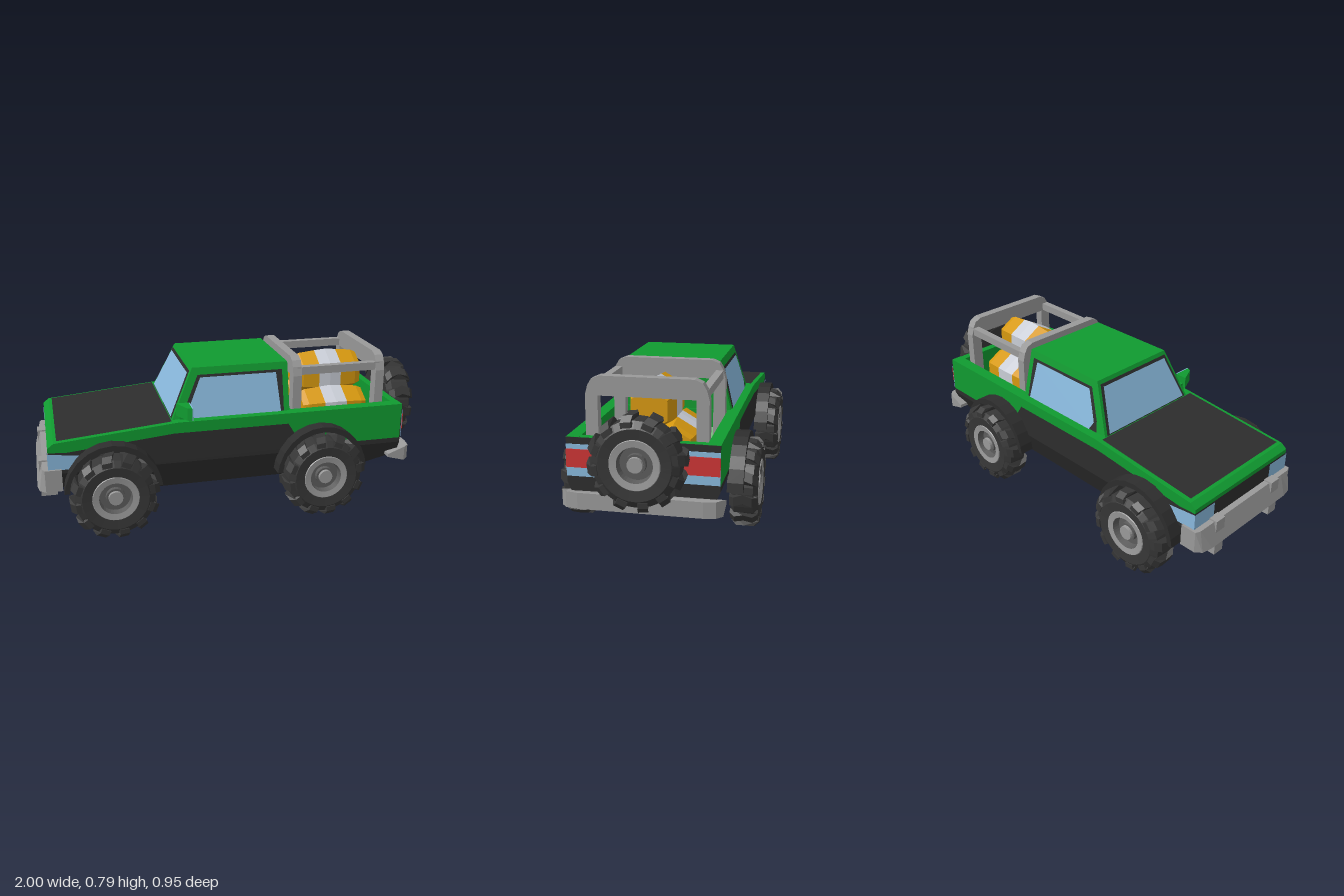
import * as THREE from 'three';

const mat = (name, color) => Object.assign(new THREE.MeshStandardMaterial({ color }), { name });
const green = mat('green paint', 0x109a30), trim = mat('dark trim', 0x2d2d2d), rubber = mat('rubber', 0x363636);
const metal = mat('grey metal', 0x999999), rimDark = mat('rim shadow metal', 0x5c5c5c), glass = mat('blue glass', 0x88b8dc);
const red = mat('red lamp', 0xcc3535), orange = mat('orange barrel', 0xd6980f), white = mat('white band', 0xc9cdd6);
glass.side = trim.side = red.side = THREE.DoubleSide;

function add(parent, name, geo, material) {
  const g = geo.index ? geo.toNonIndexed() : geo;
  g.computeVertexNormals();
  const mesh = new THREE.Mesh(g, material);
  mesh.name = name;
  parent.add(mesh);
  return mesh;
}
const shapeOf = pts => new THREE.Shape(pts.map(p => new THREE.Vector2(p[0], p[1])));
// Side profile (x, y) stretched from z0 to z1
const prism = (pts, z0, z1) =>
  new THREE.ExtrudeGeometry(shapeOf(pts), { depth: z1 - z0, bevelEnabled: false }).translate(0, 0, z0);
// Plan outline (x, z) stretched from y0 to y1
const slab = (pts, y0, y1) =>
  new THREE.ExtrudeGeometry(shapeOf(pts.map(([x, z]) => [x, -z])), { depth: y1 - y0, bevelEnabled: false })
    .rotateX(-Math.PI / 2).translate(0, y0, 0);
const box = (x0, x1, y0, y1, z0, z1) => new THREE.BoxGeometry(x1 - x0, y1 - y0, z1 - z0)
  .translate((x0 + x1) / 2, (y0 + y1) / 2, (z0 + z1) / 2);
// Flat convex plate through 3D corners
function plate(corners) {
  const pos = [];
  for (let i = 1; i < corners.length - 1; i++) pos.push(...corners[0], ...corners[i], ...corners[i + 1]);
  return new THREE.BufferGeometry().setAttribute('position', new THREE.Float32BufferAttribute(pos, 3));
}
function warp(geo, rule) {
  const p = geo.attributes.position, v = new THREE.Vector3();
  for (let i = 0; i < p.count; i++) {
    v.fromBufferAttribute(p, i);
    rule(v);
    p.setXYZ(i, v.x, v.y, v.z);
  }
  return geo;
}
// Turned part about the z axis; profile is [radius, z], back to front
const turned = (pts, sides) =>
  new THREE.LatheGeometry(pts.map(p => new THREE.Vector2(p[0], p[1])), sides).rotateX(Math.PI / 2);

// Wheel whose outer face looks along +z
function makeWheel(name) {
  const wheel = new THREE.Group();
  wheel.name = name;
  add(wheel, 'tyre', turned([[0, -0.06], [0.16, -0.065], [0.192, -0.045], [0.192, 0.045], [0.16, 0.065], [0.112, 0.06]], 36), rubber);
  add(wheel, 'rim', turned([[0.114, 0.058], [0.11, 0.064], [0.08, 0.06]], 36), metal);
  add(wheel, 'rimDish', turned([[0.08, 0.06], [0.074, 0.025], [0, 0.025]], 36), rimDark);
  add(wheel, 'hub', turned([[0.047, 0.02], [0.045, 0.045], [0.034, 0.045]], 20), rimDark);
  add(wheel, 'hubCap', turned([[0.036, 0.03], [0.034, 0.06], [0, 0.06]], 20), metal);
  for (let i = 0; i < 12; i++) {
    const block = prism([[-0.067, 0.165], [0, 0.165], [0.067, 0.165], [0.066, 0.19], [0.043, 0.215], [0, 0.215], [-0.043, 0.215], [-0.066, 0.19]], -0.023, 0.023);
    warp(block, v => { v.z += 0.35 * Math.abs(v.x) - 0.01; });
    block.rotateY(-Math.PI / 2).rotateZ(i * Math.PI / 6 + 0.12);
    add(wheel, 'treadBlock', block, rubber);
  }
  return wheel;
}

function makeBarrel(y, z) {
  const barrel = new THREE.Group();
  barrel.name = 'barrel';
  const part = (name, pts, m) => add(barrel, name, turned(pts, 6).rotateY(Math.PI / 2), m);
  part('barrelBack', [[0, -0.175], [0.095, -0.175], [0.108, -0.145], [0.117, -0.06]], orange);
  part('barrelBand', [[0.117, -0.06], [0.122, 0], [0.117, 0.06]], white);
  part('barrelFront', [[0.117, 0.06], [0.108, 0.145], [0.095, 0.175], [0, 0.175]], orange);
  barrel.position.set(0.557, y, z);
  return barrel;
}

export function createModel() {
  const car = new THREE.Group();
  car.name = 'pickupTruck';
  const W = 0.345;

  // Lower body: tapered underside, dark sill, green upper sides
  add(car, 'underbody', warp(prism([[-0.94, 0.32], [-0.9, 0.25], [-0.8, 0.172], [0.62, 0.172], [0.865, 0.25], [0.865, 0.32]], -W, W),
    v => { if (v.y < 0.31) v.z *= 1 - (0.32 - v.y) * 1.27; }), trim);
  add(car, 'sill', prism([[-0.94, 0.32], [0.865, 0.32], [0.865, 0.345], [0.33, 0.345], [0.25, 0.475], [-0.33, 0.475],
    [-0.64, 0.445], [-0.85, 0.425], [-0.94, 0.43]], -W, W), trim);
  add(car, 'upperBody', prism([[-0.94, 0.43], [-0.85, 0.425], [-0.64, 0.445], [-0.33, 0.475], [0.25, 0.475], [0.33, 0.345],
    [0.33, 0.36], [0.28, 0.44], [0.28, 0.53], [-0.31, 0.53], [-0.91, 0.475], [-0.94, 0.452]], -W, W), green);
  for (const s of [-1, 1]) {
    add(car, 'bedWall', prism([[0.25, 0.475], [0.33, 0.345], [0.865, 0.345], [0.865, 0.53], [0.25, 0.53]],
      s > 0 ? 0.285 : -W, s > 0 ? W : -0.285), green);
  }
  add(car, 'bedFloor', box(0.28, 0.86, 0.34, 0.352, -0.3, 0.3), green);
  add(car, 'tailgate', box(0.825, 0.864, 0.345, 0.529, -0.3, 0.3), green);
  add(car, 'tailgatePanel', box(0.863, 0.867, 0.345, 0.529, -W, W), trim);
  const hoodY = x => 0.479 + (x + 0.91) * 0.0917;
  add(car, 'hoodPanel', plate([[-0.895, hoodY(-0.895), 0.325], [-0.34, hoodY(-0.34), 0.325],
    [-0.34, hoodY(-0.34), -0.325], [-0.895, hoodY(-0.895), -0.325]]), trim);

  // Lamps
  for (const s of [-1, 1]) {
    add(car, 'headlamp', plate([[-0.943, 0.34, s * 0.21], [-0.943, 0.34, s * 0.348], [-0.943, 0.425, s * 0.348], [-0.943, 0.425, s * 0.21]]), glass);
    add(car, 'sideLamp', plate([[-0.943, 0.34, s * 0.348], [-0.84, 0.34, s * 0.348], [-0.79, 0.405, s * 0.348], [-0.943, 0.425, s * 0.348]]), glass);
    const [a, b] = s > 0 ? [0.17, W] : [-W, -0.17];
    add(car, 'tailLampSurround', box(0.866, 0.87, 0.35, 0.498, a, b), glass);
    add(car, 'tailLamp', box(0.869, 0.874, 0.392, 0.476, a, b), red);
  }

  // Cab narrowing towards the roof
  add(car, 'cab', warp(prism([[-0.335, 0.525], [0.268, 0.525], [0.268, 0.77], [-0.22, 0.77]], -0.3, 0.3),
    v => { if (v.y > 0.7) v.z *= 0.8; }), green);
  const sideZ = (y, off) => 0.3 - (y - 0.525) * 0.245 + off;
  const screen = (y, z, off) => [-0.335 + (y - 0.525) * 0.469 - off, y + off * 0.4, z];
  for (const s of [-1, 1]) {
    const pane = (pts, off) => plate(pts.map(([x, y]) => [x, y, s * sideZ(y, off)]));
    add(car, 'sideWindowFrame', pane([[-0.275, 0.531], [0.238, 0.531], [0.238, 0.735], [-0.195, 0.735], [-0.265, 0.585]], 0.003), trim);
    add(car, 'sideWindow', pane([[-0.225, 0.531], [0.222, 0.531], [0.205, 0.723], [-0.183, 0.723], [-0.25, 0.575]], 0.006), glass);
  }
  const windscreen = (y0, y1, z0, z1, off) => plate([screen(y0, -z0, off), screen(y0, z0, off), screen(y1, z1, off), screen(y1, -z1, off)]);
  add(car, 'windscreenFrame', windscreen(0.53, 0.752, 0.285, 0.23, 0.003), trim);
  add(car, 'windscreen', windscreen(0.535, 0.738, 0.27, 0.218, 0.006), glass);

  // Single wing mirror on the left
  add(car, 'mirrorArm', box(-0.3, -0.255, 0.535, 0.58, 0.26, 0.32), green);
  add(car, 'mirrorShell', slab([[-0.315, 0.31], [-0.252, 0.31], [-0.252, 0.405], [-0.275, 0.395]], 0.555, 0.617), green);
  add(car, 'mirrorGlass', box(-0.253, -0.248, 0.555, 0.617, 0.315, 0.405), glass);

  // Bumpers
  const frontBar = slab([[-0.88, -0.36], [-0.96, -0.36], [-0.99, -0.335], [-1, -0.28], [-1, 0.28], [-0.99, 0.335], [-0.96, 0.36], [-0.88, 0.36]], 0.235, 0.345);
  add(car, 'frontBumper', warp(frontBar, v => { if (v.y > 0.3) v.x = Math.max(v.x, -0.97); }), metal);
  const rearBar = slab([[0.8, -0.362], [0.89, -0.362], [0.92, -0.335], [0.93, -0.28], [0.93, 0.28], [0.92, 0.335], [0.89, 0.362], [0.8, 0.362]], 0.22, 0.295);
  add(car, 'rearBumper', warp(rearBar, v => { if (v.x < 0.81) v.y = v.y > 0.26 ? 0.262 : 0.245; }), metal);
  for (const z of [-0.21, 0.21]) {
    add(car, 'bumperGuard', box(-0.985, -0.905, 0.163, 0.352, z - 0.03, z + 0.03), metal);
  }

  // Wheels and arched fenders
  for (const x of [-0.64, 0.415]) {
    for (const s of [-1, 1]) {
      const wheel = makeWheel('wheel');
      wheel.position.set(x, 0.218, s * 0.41);
      if (s < 0) wheel.rotation.y = Math.PI;
      car.add(wheel);
      const arch = [];
      for (let i = 0; i <= 12; i++) arch.push([i * Math.PI / 12, 0.236, 0.247]);
      for (let i = 12; i >= 0; i--) arch.push([i * Math.PI / 12, 0.21, 0.219]);
      const pts = arch.map(([a, rx, ry]) => [x + rx * Math.cos(a), 0.22 + Math.max(0.02, ry * Math.sin(a))]);
      add(car, 'fender', prism(pts, s > 0 ? 0.34 : -0.415, s > 0 ? 0.415 : -0.34), trim);
    }
  }
  const spare = makeWheel('spareWheel');
  spare.position.set(0.935, 0.46, 0);
  spare.rotation.y = Math.PI / 2;
  car.add(spare);

  // Roll cage: two hoops joined by rails
  const hoop = [[-0.28, 0.36], [-0.28, 0.7], [-0.268, 0.745], [-0.25, 0.775], [-0.215, 0.79], [0.215, 0.79], [0.25, 0.775],
    [0.268, 0.745], [0.28, 0.7], [0.28, 0.36], [0.222, 0.36], [0.222, 0.7], [-0.222, 0.7], [-0.222, 0.36]];
  for (const x of [0.313, 0.758]) {
    add(car, 'rollHoop', prism(hoop, -0.023, 0.023).rotateY(Math.PI / 2).translate(x, 0, 0), metal);
  }
  for (const z of [-0.252, 0.252]) add(car, 'cageRail', box(0.313, 0.758, 0.702, 0.742, z - 0.018, z + 0.018), metal);

  // Stacked barrels
  for (const [y, z] of [[0.46, -0.105], [0.46, 0.105], [0.632, 0]]) car.add(makeBarrel(y, z));
  return car;
}
